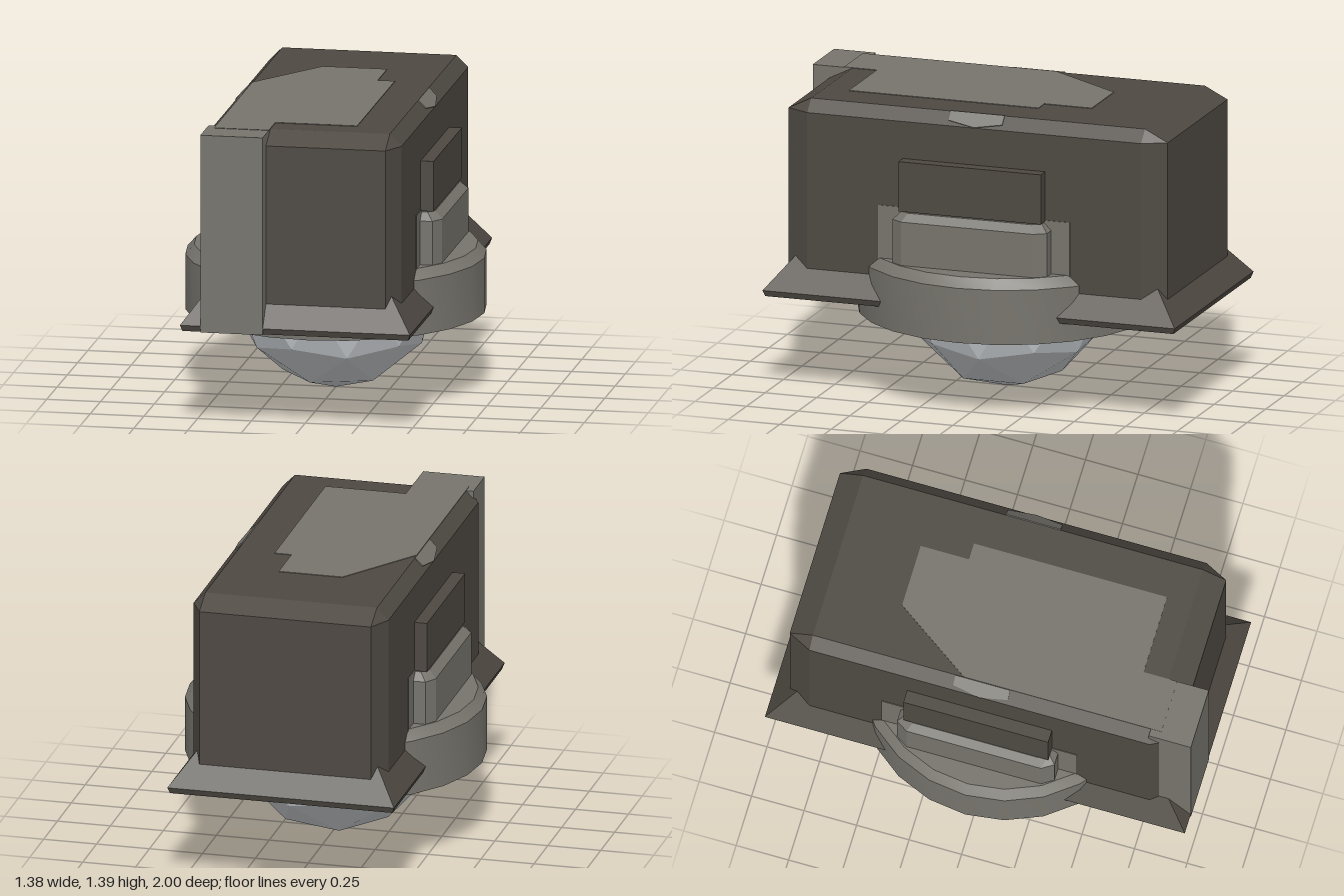
import * as THREE from 'three';
import { toCreasedNormals } from 'three/addons/utils/BufferGeometryUtils.js';

const darkMat = new THREE.MeshStandardMaterial({ color: 0x4e4942 });
darkMat.name = 'dark casing';
const greyMat = new THREE.MeshStandardMaterial({ color: 0x77746d });
greyMat.name = 'warm grey metal';
const lensMat = new THREE.MeshStandardMaterial({ color: 0xc2c6ca });
lensMat.name = 'pale lens';

function add(parent, name, geometry, material) {
  const mesh = new THREE.Mesh(geometry, material);
  mesh.name = name;
  parent.add(mesh);
  return mesh;
}

// Box given by its lower and upper limits
function box(x0, x1, y0, y1, z0, z1) {
  return new THREE.BoxGeometry(x1 - x0, y1 - y0, z1 - z0)
    .translate((x0 + x1) / 2, (y0 + y1) / 2, (z0 + z1) / 2);
}

// Rectangle with cut corners: half sizes x, z and corner cuts cx, cz
function section(y, x, z, cx = 0, cz = 0) {
  return [[x, z - cz], [x - cx, z], [cx - x, z], [-x, z - cz],
    [-x, cz - z], [cx - x, -z], [x - cx, -z], [x, cz - z]]
    .map(([px, pz]) => [px, y, pz]);
}

// Flat-faced solid through a stack of sections, bottom to top
function loft(sections) {
  const pos = [];
  const n = sections[0].length;
  const tri = (a, b, c) => pos.push(...a, ...b, ...c);
  for (let s = 0; s < sections.length - 1; s++) {
    const lo = sections[s], hi = sections[s + 1];
    for (let i = 0; i < n; i++) {
      const j = (i + 1) % n;
      tri(lo[i], hi[i], lo[j]);
      tri(lo[j], hi[i], hi[j]);
    }
  }
  const bottom = sections[0], top = sections[sections.length - 1];
  for (let i = 1; i < n - 1; i++) {
    tri(bottom[0], bottom[i], bottom[i + 1]);
    tri(top[0], top[i + 1], top[i]);
  }
  const g = new THREE.BufferGeometry();
  g.setAttribute('position', new THREE.Float32BufferAttribute(pos, 3));
  g.computeVertexNormals();
  return g;
}

function plate(points, depth) {
  const shape = new THREE.Shape(points.map(([x, y]) => new THREE.Vector2(x, y)));
  return new THREE.ExtrudeGeometry(shape, { depth, bevelEnabled: false });
}

export function createModel() {
  const model = new THREE.Group();
  model.name = 'domeDevice';

  // Main casing with cut corners and bevelled top
  add(model, 'casing', loft([
    section(0.5, 0.46, 0.92, 0.055, 0.11),
    section(1.335, 0.46, 0.92, 0.055, 0.11),
    section(1.39, 0.405, 0.81),
  ]), darkMat);

  // Sloping skirt around the foot of the casing
  add(model, 'skirt', loft([
    section(0.467, 0.525, 0.99),
    section(0.495, 0.535, 1.0),
    section(0.68, 0.4, 0.85),
  ]), darkMat);

  // Round collar under the casing
  const collar = [[0, 0.377], [0.69, 0.377], [0.69, 0.635], [0.65, 0.68], [0, 0.68]]
    .map(([r, y]) => new THREE.Vector2(r, y));
  add(model, 'collar', toCreasedNormals(new THREE.LatheGeometry(collar, 24), 0.5), greyMat);

  // Faceted lens, one corner pointing straight down
  const lens = new THREE.IcosahedronGeometry(0.47, 1);
  lens.rotateZ(-Math.atan(2 / (1 + Math.sqrt(5)))).translate(0, 0.472, 0);
  lens.computeVertexNormals();
  add(model, 'lens', lens, lensMat);

  // Bevelled lugs and dark blocks passing through both sides
  add(model, 'sideLugs', loft([
    section(0.65, 0.555, 0.375, 0.035, 0.055),
    section(0.885, 0.555, 0.375, 0.035, 0.055),
    section(0.92, 0.52, 0.34, 0.03, 0.04),
  ]), greyMat);
  add(model, 'sideBlocks', box(-0.52, 0.52, 0.925, 1.16, -0.345, 0.345), darkMat);
  add(model, 'sidePanels', box(-0.463, 0.463, 0.58, 0.93, -0.465, 0.465), greyMat);

  // Upright bar on the front
  add(model, 'frontBar', box(-0.44, -0.15, 0.466, 1.391, 0.8, 1.001), greyMat);

  // Stepped inlay on the roof, drawn as x and -z
  const inlay = plate([[-0.405, -0.85], [-0.15, -0.85], [-0.15, -0.69], [0.23, -0.69],
    [0.23, 0.23], [0.15, 0.23], [0.15, 0.46], [-0.15, 0.46], [-0.405, 0.09]], 0.005);
  add(model, 'roofInlay', inlay.rotateX(-Math.PI / 2).translate(0, 1.388, 0), greyMat);

  // Small pointed tabs on the roof bevels
  for (const turn of [0, Math.PI]) {
    const tab = plate([[-0.13, 0.039], [-0.13, -0.012], [0, -0.039], [0.13, -0.012], [0.13, 0.039]], 0.006);
    tab.rotateY(Math.PI / 2).rotateZ(Math.PI / 4).translate(0.4315, 1.3615, 0);
    add(model, turn ? 'rightTab' : 'leftTab', tab, greyMat).rotation.y = turn;
  }

  return model;
}
